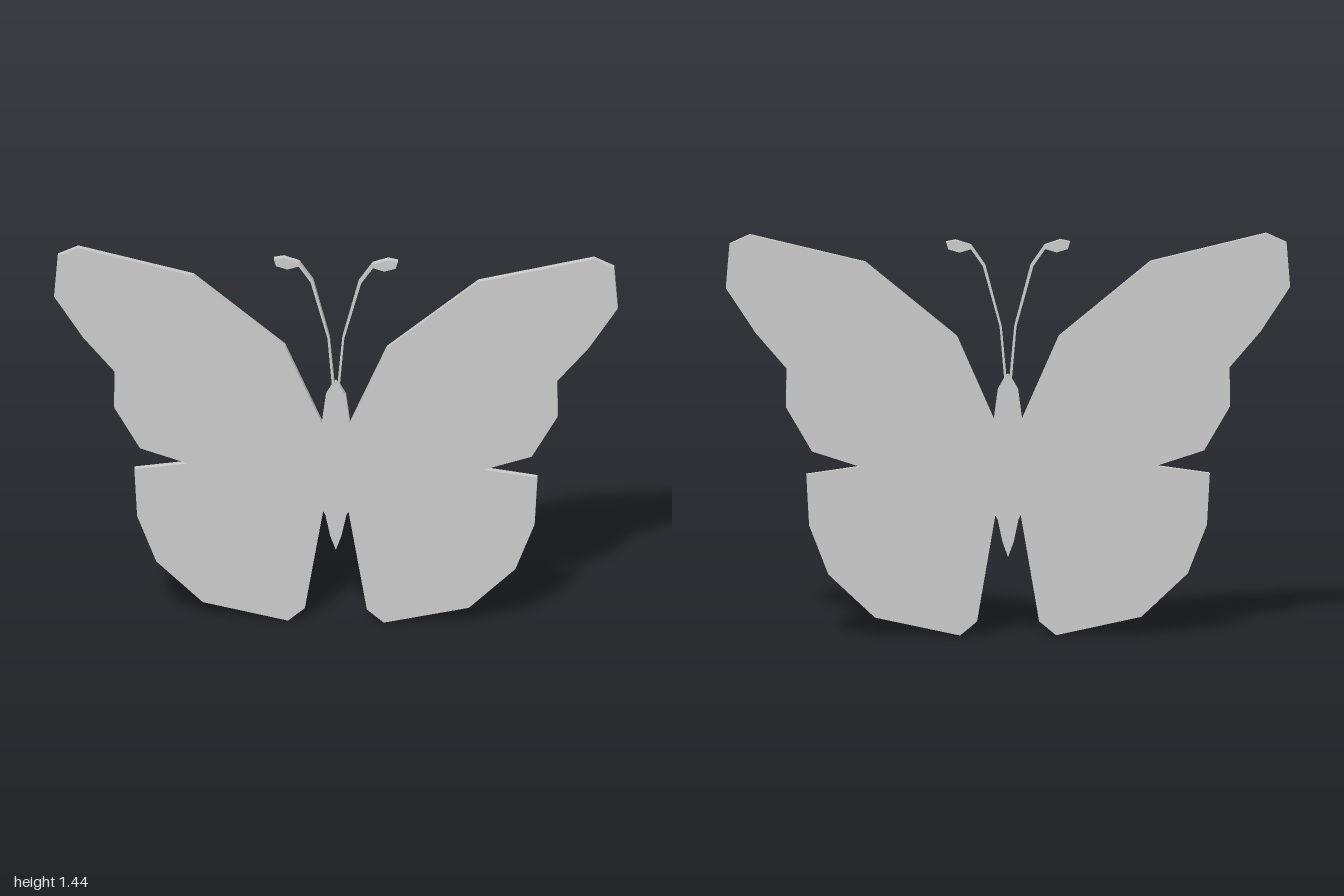
import * as THREE from 'three';

const DEPTH = 0.024;

// Outlines for the model's left (+x) half, as [x, y]
const FOREWING = [
  [0.05, 0.775], [0.18, 1.07], [0.505, 1.337], [0.915, 1.436], [0.987, 1.403], [1, 1.245],
  [0.895, 1.085], [0.785, 0.957], [0.787, 0.818], [0.695, 0.66], [0.525, 0.605], [0.047, 0.605],
];
const HINDWING = [
  [0.047, 0.605], [0.525, 0.605], [0.715, 0.578], [0.705, 0.395], [0.637, 0.22],
  [0.472, 0.065], [0.17, 0], [0.11, 0.05], [0.045, 0.43],
];
const ANTENNA = [
  [0.005, 0.92], [0.022, 1.105], [0.08, 1.325], [0.13, 1.397], [0.185, 1.415], [0.22, 1.408],
  [0.212, 1.382], [0.172, 1.37], [0.132, 1.382], [0.09, 1.322], [0.03, 1.105], [0.014, 0.92],
];
const BODY_SIDE = [
  [0.012, 0.922], [0.036, 0.88], [0.05, 0.775], [0.047, 0.605],
  [0.045, 0.43], [0.037, 0.415], [0.02, 0.335],
];

const mirror = (points) => points.map(([x, y]) => [-x, y]);

export function createModel() {
  const group = new THREE.Group();
  const material = new THREE.MeshStandardMaterial({ color: 0xcccccc, flatShading: true });

  // Flat plate cut to an outline, centred on z = 0
  function addPlate(name, points) {
    const shape = new THREE.Shape(points.map(([x, y]) => new THREE.Vector2(x, y)));
    const geometry = new THREE.ExtrudeGeometry(shape, { depth: DEPTH, bevelEnabled: false });
    geometry.translate(0, 0, -DEPTH / 2);
    const mesh = new THREE.Mesh(geometry, material);
    mesh.name = name;
    group.add(mesh);
  }

  // Slim body, pointed at head and tail
  addPlate('body', [[0, 0.935], ...BODY_SIDE, [0, 0.28], ...mirror(BODY_SIDE).reverse()]);

  // Paired wings and antennae
  const pairs = { Forewing: FOREWING, Hindwing: HINDWING, Antenna: ANTENNA };
  for (const [part, points] of Object.entries(pairs)) {
    addPlate('left' + part, points);
    addPlate('right' + part, mirror(points));
  }
  return group;
}
